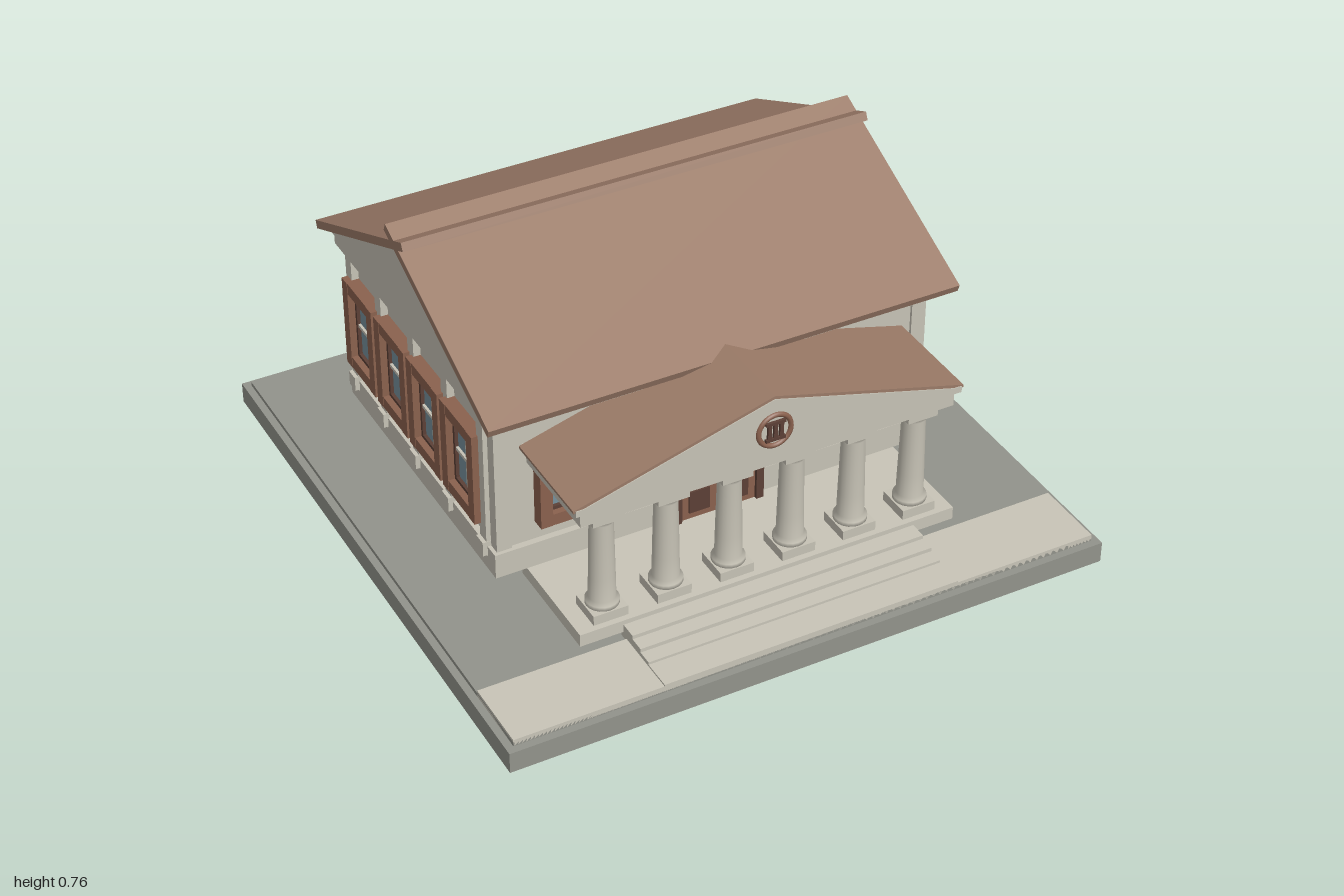
import * as THREE from 'three';

const mat = (name, color) => {
  const m = new THREE.MeshStandardMaterial({ color });
  m.name = name;
  return m;
};

export function createModel() {
  const wall = mat('wall stone', 0xc6c2b5);
  const stone = mat('paving stone', 0xc8c4b7);
  const ground = mat('ground grey', 0x92938b);
  const roofBrown = mat('roof brown', 0x9a7a67);
  const wood = mat('wood brown', 0x8a614e);
  const darkWood = mat('dark wood', 0x5c4036);
  const glass = mat('glass blue', 0x76909b);

  const model = new THREE.Group();
  model.name = 'columnedBuilding';
  const hall = new THREE.Group(); // portico faces local +z
  hall.name = 'building';
  hall.rotation.y = Math.PI / 4;
  model.add(hall);

  const add = (parent, name, geo, material, x = 0, y = 0, z = 0) => {
    const m = new THREE.Mesh(geo, material);
    m.name = name;
    m.position.set(x, y, z);
    parent.add(m);
    return m;
  };
  // box given by its limits on each axis
  const block = (parent, name, material, x0, x1, y0, y1, z0, z1) =>
    add(parent, name, new THREE.BoxGeometry(x1 - x0, y1 - y0, z1 - z0), material,
      (x0 + x1) / 2, (y0 + y1) / 2, (z0 + z1) / 2);
  const extrude = (points, depth) => new THREE.ExtrudeGeometry(
    new THREE.Shape(points.map(p => new THREE.Vector2(...p))), { depth, bevelEnabled: false });

  // Ground slab and walkway
  block(hall, 'baseSlab', ground, -0.707, 0.707, 0, 0.05, -0.707, 0.707);
  block(hall, 'baseTop', ground, -0.69, 0.69, 0.05, 0.06, -0.69, 0.69);
  block(hall, 'walkway', stone, -0.69, 0.69, 0.05, 0.066, 0.523, 0.69);

  // Main hall body
  const U = 0.51, back = -0.466, front = 0.255, mid = -0.113;
  block(hall, 'hallWalls', wall, -U, U, 0.11, 0.52, back, front);
  block(hall, 'plinth', wall, -U - 0.015, U + 0.015, 0.11, 0.17, back - 0.015, front + 0.015);
  block(hall, 'frieze', wall, -U - 0.022, U + 0.022, 0.5, 0.53, back - 0.04, front + 0.04);
  for (const sx of [-1, 1]) for (const z of [back, front])
    add(hall, 'cornerPost', new THREE.BoxGeometry(0.035, 0.33, 0.035), wall, sx * (U - 0.011), 0.335, z + (z < 0 ? 0.011 : -0.011));

  // Gable ends and the two crossing roof slabs
  const gable = extrude([[-0.42, 0.525], [0.42, 0.525], [0, 0.72]], 1.07);
  gable.rotateY(Math.PI / 2);
  add(hall, 'gables', gable, wall, -0.535, 0, mid);
  const slope = 0.455, t = 0.02;
  for (const s of [-1, 1]) {
    const yAt = d => 0.74 - slope * d;
    const slab = extrude([[-0.04, yAt(-0.04)], [-0.04 - t * 0.4, yAt(-0.04) - t * 0.9],
      [0.434, yAt(0.44) - t * 0.9], [0.441, yAt(0.44)]].map(([d, y]) => [d, y]), 1.11);
    slab.translate(0, 0, -0.555);
    const m = add(hall, s > 0 ? 'frontRoof' : 'backRoof', slab, roofBrown, 0, 0, mid);
    m.rotation.y = -s * Math.PI / 2;
  }

  // Framed sash window facing +z
  const windowAt = (x, y, z, w, h, turn) => {
    const g = new THREE.Group();
    g.name = 'window';
    const b = 0.028, W = w / 2, H = h / 2;
    for (const s of [-1, 1]) {
      add(g, 'frameSide', new THREE.BoxGeometry(b, h, 0.036), wood, s * (W - b / 2), 0, 0.014);
      add(g, 'frameRail', new THREE.BoxGeometry(w, b, 0.034), wood, 0, s * (H - b / 2), 0.014);
      add(g, 'innerSide', new THREE.BoxGeometry(0.008, h - 2 * b, 0.016), darkWood, s * (W - b - 0.004), 0, 0.008);
      add(g, 'innerRail', new THREE.BoxGeometry(w - 2 * b, 0.008, 0.016), darkWood, 0, s * (H - b - 0.004), 0.008);
    }
    add(g, 'pane', new THREE.BoxGeometry(w - 2 * b, h - 2 * b, 0.008), glass, 0, 0, 0.004);
    add(g, 'sashBar', new THREE.BoxGeometry(w - 2 * b, 0.008, 0.012), wall, 0, 0, 0.008);
    add(g, 'sashMullion', new THREE.BoxGeometry(0.004, h - 2 * b, 0.009), wall, 0, 0, 0.006);
    g.position.set(x, y, z);
    g.rotation.y = turn;
    hall.add(g);
  };

  // End walls: four windows with pilasters between
  for (const s of [-1, 1]) {
    for (const z of [-0.376, -0.206, -0.037, 0.132]) windowAt(s * U, 0.33, z, 0.157, 0.225, s * Math.PI / 2);
    for (const z of [-0.448, -0.291, -0.121, 0.047, 0.218]) {
      add(hall, 'pilaster', new THREE.BoxGeometry(0.03, 0.35, 0.03), wall, s * (U + 0.002), 0.32, z);
      add(hall, 'pilasterFoot', new THREE.BoxGeometry(0.044, 0.035, 0.032), wall, s * (U + 0.004), 0.165, z);
    }
  }

  // Front wall: two windows, plaques and a panelled double door
  for (const s of [-1, 1]) {
    windowAt(s * 0.345, 0.31, front, 0.16, 0.19, 0);
    block(hall, 'wallPlaque', wall, s * 0.19 - 0.025, s * 0.19 + 0.025, 0.24, 0.32, front, front + 0.015);
    block(hall, 'doorLeaf', wood, s * 0.047 - 0.045, s * 0.047 + 0.045, 0.1, 0.36, front, front + 0.022);
    for (const y of [0.15, 0.225, 0.305])
      add(hall, 'doorPanel', new THREE.BoxGeometry(0.05, 0.055, 0.008), darkWood, s * 0.047, y, front + 0.023);
    block(hall, 'doorJamb', darkWood, s * 0.1 - 0.009, s * 0.1 + 0.009, 0.1, 0.375, front, front + 0.03);
  }
  block(hall, 'doorHead', darkWood, -0.109, 0.109, 0.36, 0.378, front, front + 0.03);

  // Portico floor and steps
  block(hall, 'porticoFloor', stone, -0.45, 0.45, 0.075, 0.105, 0.24, 0.51);
  [[0.55, 0.094], [0.585, 0.085], [0.62, 0.076]].forEach(([z, y]) =>
    block(hall, 'step', stone, -0.35, 0.35, 0.06, y, 0.5, z));
  block(hall, 'stepLanding', stone, -0.35, 0.35, 0.06, 0.07, 0.5, 0.69);

  // Six columns with square feet and caps
  const profile = [[0, 0.125], [0.037, 0.125], [0.037, 0.138], [0.03, 0.145], [0.029, 0.2],
    [0.026, 0.34], [0.034, 0.352], [0.034, 0.358], [0, 0.358]].map(p => new THREE.Vector2(...p));
  const shaft = new THREE.LatheGeometry(profile, 20);
  for (let i = 0; i < 6; i++) {
    const c = new THREE.Group();
    c.name = 'column';
    c.position.set((i - 2.5) * 0.1485, 0, 0.456);
    add(c, 'shaft', shaft, wall);
    add(c, 'foot', new THREE.BoxGeometry(0.08, 0.026, 0.08), wall, 0, 0.115, 0);
    add(c, 'cap', new THREE.BoxGeometry(0.072, 0.02, 0.072), wall, 0, 0.365, 0);
    hall.add(c);
  }

  // Entablature, pediment and portico roof
  block(hall, 'entablature', wall, -0.44, 0.44, 0.375, 0.415, 0.24, 0.5);
  block(hall, 'cornice', wall, -0.453, 0.453, 0.41, 0.425, 0.24, 0.508);
  add(hall, 'pediment', extrude([[-0.453, 0.42], [0.453, 0.42], [0, 0.546]], 0.03), wall, 0, 0, 0.478);
  add(hall, 'porticoRoof', extrude([[-0.458, 0.42], [0.458, 0.42], [0.458, 0.426], [0, 0.553], [-0.458, 0.426]], 0.246),
    roofBrown, 0, 0, 0.26);

  // Round vent in the pediment
  const vent = new THREE.Group();
  vent.name = 'roundVent';
  vent.position.set(0, 0.47, 0.508);
  hall.add(vent);
  add(vent, 'ventRing', new THREE.TorusGeometry(0.038, 0.006, 8, 32), wood);
  for (const s of [-1, 0, 1]) {
    add(vent, 'ventBar', new THREE.BoxGeometry(0.009, 0.036, 0.008), darkWood, s * 0.014, 0, 0.002);
    if (s) add(vent, 'ventRail', new THREE.BoxGeometry(0.046, 0.007, 0.009), darkWood, 0, s * 0.02, 0.002);
  }

  return model;
}
